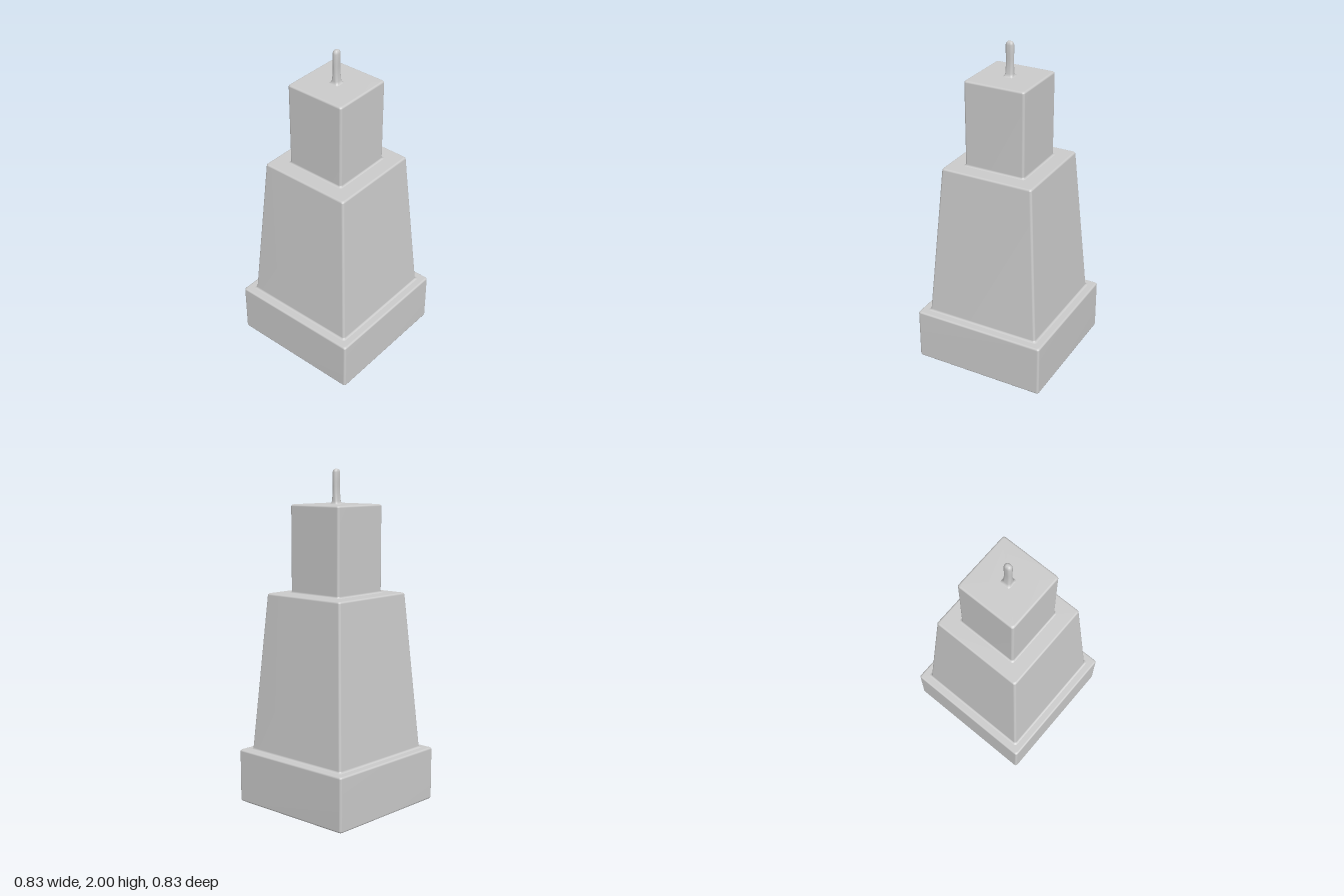
import * as THREE from 'three';

const CORNER_STEPS = 4;

// One rounded-rectangle ring at height y with half sizes hx, hz and corner radius r
function ringPoints([y, hx, hz, r]) {
  const points = [];
  [[1, 1], [-1, 1], [-1, -1], [1, -1]].forEach(([sx, sz], q) => {
    for (let k = 0; k <= CORNER_STEPS; k++) {
      const a = (q + k / CORNER_STEPS) * Math.PI / 2;
      points.push([sx * (hx - r) + r * Math.cos(a), y, sz * (hz - r) + r * Math.sin(a)]);
    }
  });
  return points;
}

// Skin the rings from bottom to top and close the top (and bottom if asked)
function loft(name, rings, material, closeBottom = false) {
  const n = 4 * (CORNER_STEPS + 1);
  const position = rings.flatMap(ringPoints).flat();
  const index = [];
  for (let i = 0; i < rings.length - 1; i++) {
    for (let j = 0; j < n; j++) {
      const a = i * n + j, b = i * n + (j + 1) % n;
      index.push(a, a + n, b, b, a + n, b + n);
    }
  }
  const last = rings.length - 1;
  const top = position.length / 3;
  position.push(0, rings[last][0], 0);
  for (let j = 0; j < n; j++) index.push(top, last * n + (j + 1) % n, last * n + j);
  if (closeBottom) {
    const bottom = position.length / 3;
    position.push(0, rings[0][0], 0);
    for (let j = 0; j < n; j++) index.push(bottom, j, (j + 1) % n);
  }
  const geometry = new THREE.BufferGeometry();
  geometry.setAttribute('position', new THREE.Float32BufferAttribute(position, 3));
  geometry.setIndex(index);
  geometry.computeVertexNormals();
  const mesh = new THREE.Mesh(geometry, material);
  mesh.name = name;
  return mesh;
}

// Rings for a square tier: soft edges at the top, a fillet or soft edge at the foot
function tier(y0, y1, h0, h1, foot) {
  const e = 0.012;
  const ring = (y, h) => [y, h, h, 0.014];
  const rings = [];
  for (let k = 0; k <= 3; k++) {
    const a = k / 3 * Math.PI / 2;
    rings.push(ring(y0 + e * (1 - Math.cos(a)), h0 + foot * e * (1 - Math.sin(a))));
  }
  for (let k = 0; k <= 3; k++) {
    const a = k / 3 * Math.PI / 2;
    rings.push(ring(y1 - e * (1 - Math.sin(a)), h1 - e * (1 - Math.cos(a))));
  }
  return rings;
}

export function createModel() {
  const group = new THREE.Group();
  group.name = 'steppedTower';
  const material = new THREE.MeshStandardMaterial({ color: 0xcccccc });

  // Square plinth, tapered body and straight upper block
  group.add(loft('plinth', tier(0, 0.325, 0.415, 0.415, -1), material, true));
  group.add(loft('taperedBody', tier(0.325, 1.277, 0.359, 0.29, 1), material));
  group.add(loft('upperBlock', tier(1.277, 1.797, 0.19, 0.19, 0.8), material));

  // Slim mast with a flared foot and a rounded tip
  group.add(loft('mast', [
    [1.797, 0.032, 0.032, 0.012],
    [1.802, 0.025, 0.026, 0.012],
    [1.815, 0.021, 0.024, 0.014],
    [1.86, 0.017, 0.023, 0.015],
    [1.9, 0.016, 0.023, 0.015],
    [1.93, 0.018, 0.024, 0.017],
    [1.98, 0.018, 0.024, 0.017],
    [1.992, 0.015, 0.020, 0.014],
    [1.998, 0.010, 0.014, 0.009],
    [2.0, 0.005, 0.008, 0.004],
  ], material));

  return group;
}
